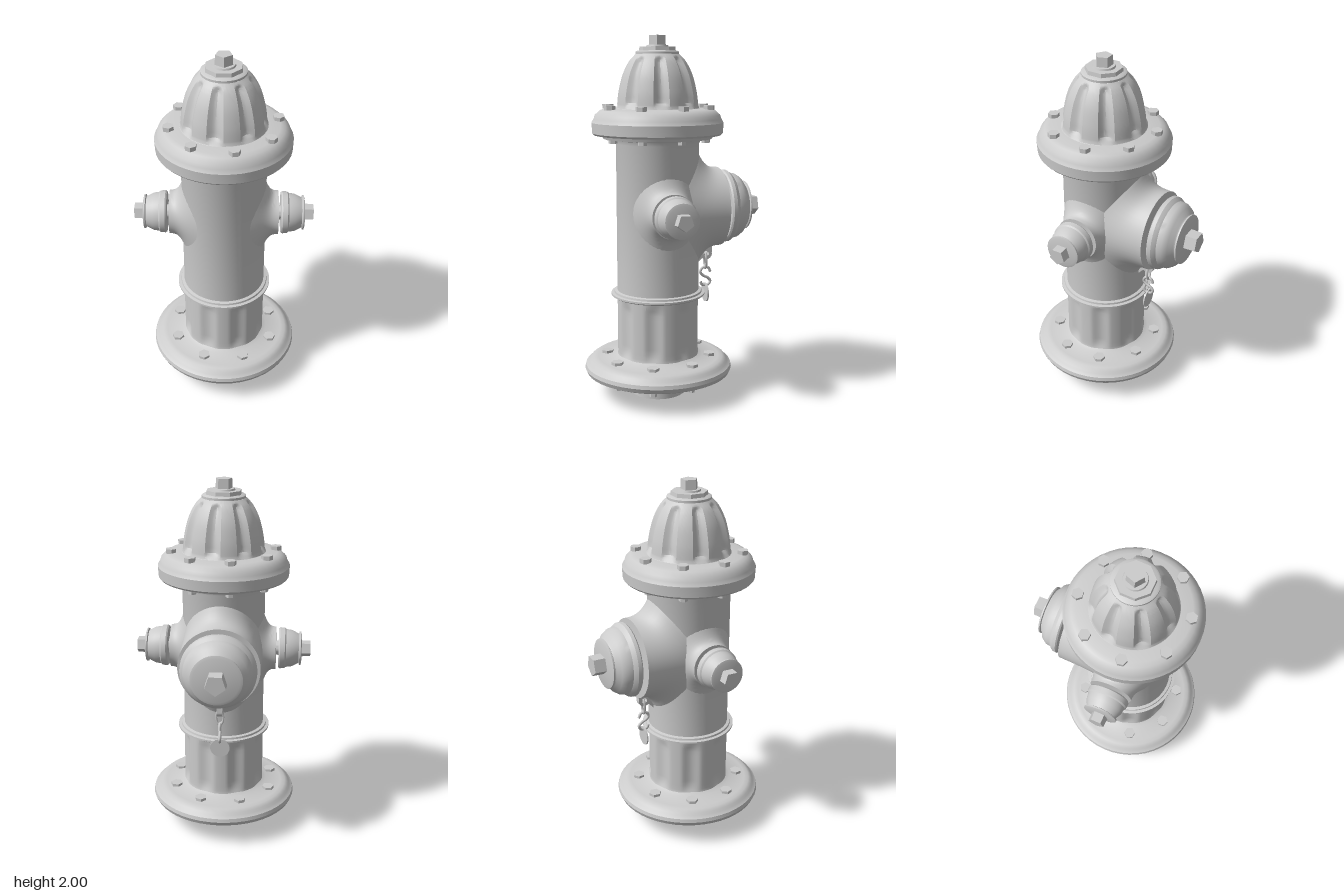
import * as THREE from 'three';
import { mergeVertices, toCreasedNormals } from 'three/addons/utils/BufferGeometryUtils.js';

const AXIS_Z = 0.083; // vertical axis of the barrel
const R = 0.228; // barrel radius
const DEG = Math.PI / 180;
const material = new THREE.MeshStandardMaterial({ color: 0xcccccc });

function add(parent, name, geometry, x = 0, y = 0, z = 0) {
  const mesh = new THREE.Mesh(geometry, material);
  mesh.name = name;
  mesh.position.set(x, y, z);
  parent.add(mesh);
  return mesh;
}

function crease(geometry, angle = 32) {
  geometry.deleteAttribute('normal');
  geometry.deleteAttribute('uv');
  return toCreasedNormals(mergeVertices(geometry, 1e-5), angle * DEG);
}

function turned(points, segments = 48) {
  return new THREE.LatheGeometry(points.map(p => new THREE.Vector2(...p)), segments);
}

// Eight concave flutes pressed into a turned surface between two heights
function flute(geometry, centre, width, depth, low, high, fade) {
  const p = geometry.attributes.position;
  for (let i = 0; i < p.count; i++) {
    const x = p.getX(i), y = p.getY(i), z = p.getZ(i);
    const r = Math.hypot(x, z);
    if (r < 1e-4) continue;
    const a = Math.atan2(z, x) / DEG - centre;
    const off = a - 45 * Math.round(a / 45);
    const across = Math.max(0, Math.cos(Math.min(1, Math.abs(off) / width) * Math.PI / 2));
    const along = THREE.MathUtils.smoothstep(y, low, low + fade) * (1 - THREE.MathUtils.smoothstep(y, high - fade, high));
    const k = 1 - depth * across * along / r;
    p.setXYZ(i, x * k, y, z * k);
  }
  return geometry;
}

// Ring of eight hexagonal bolts
function boltRing(parent, name, radius, y, size, height, offset) {
  for (let i = 0; i < 8; i++) {
    const a = (offset + 45 * i) * DEG;
    const g = crease(new THREE.CylinderGeometry(size, size, height, 6));
    add(parent, name, g, radius * Math.cos(a), y, radius * Math.sin(a)).rotation.y = -a;
  }
}

// Flared outlet neck along +z, its root following the barrel and its end closed
function neckGeometry(radius, flareX, flareY, end) {
  const rows = 10, cols = 48, pos = [], index = [];
  for (let i = 0; i <= rows + 1; i++) {
    const t = Math.min(1, i / rows), e = (1 - t) ** 3;
    const s = i > rows ? 0 : 1;
    for (let j = 0; j < cols; j++) {
      const a = j / cols * Math.PI * 2;
      const x = s * Math.min(R - 0.002, radius + flareX * e) * Math.cos(a);
      const root = Math.sqrt(Math.max(0, (R - 0.004) ** 2 - x * x));
      pos.push(x, s * (radius + flareY * e) * Math.sin(a), s ? THREE.MathUtils.lerp(root, end, t) : end);
      if (i <= rows) {
        const k = (j + 1) % cols, b = i * cols, c = b + cols;
        index.push(b + j, b + k, c + k, b + j, c + k, c + j);
      }
    }
  }
  const g = new THREE.BufferGeometry();
  g.setAttribute('position', new THREE.Float32BufferAttribute(pos, 3));
  g.setIndex(index);
  return crease(g, 45);
}

// Outlet: neck, threaded stem, turned cap and five-sided nut
function outlet(parent, name, turn, o) {
  const group = new THREE.Group();
  group.name = name;
  group.position.y = 1.055;
  group.rotation.y = turn;
  parent.add(group);
  add(group, name + 'Neck', neckGeometry(o.radius, o.flareX, o.flareY, o.neckEnd));
  const stem = new THREE.CylinderGeometry(o.stem, o.stem, 0.08, 24);
  add(group, name + 'Stem', crease(stem.rotateX(Math.PI / 2)), 0, 0, o.neckEnd + 0.02);
  add(group, name + 'Cap', crease(turned(o.cap, 40).rotateX(Math.PI / 2)));
  const nut = new THREE.CylinderGeometry(o.nut, o.nut * 1.05, o.nutEnd - o.nutStart, 5);
  add(group, name + 'Nut', crease(nut.rotateX(Math.PI / 2)), 0, 0, (o.nutStart + o.nutEnd) / 2);
}

export function createModel() {
  const model = new THREE.Group();
  model.name = 'fireHydrant';
  const g = new THREE.Group();
  g.name = 'hydrant';
  g.position.z = AXIS_Z;
  model.add(g);

  // Foot pipe and ground flange
  add(g, 'footPipe', crease(turned([
    [0, 0.09], [0.125, 0.09], [0.125, 0], [0.15, 0], [0.15, 0.045], [0.165, 0.055], [0.165, 0.085], [0.18, 0.13],
  ])));
  add(g, 'baseFlange', crease(turned([
    [0.15, 0.122], [0.385, 0.122], [0.405, 0.132], [0.415, 0.155], [0.41, 0.175], [0.392, 0.188],
    [0.385, 0.2], [0.365, 0.213], [0.34, 0.216], [0.25, 0.222], [0.22, 0.24],
  ])));
  boltRing(g, 'baseBolt', 0.29, 0.222, 0.034, 0.024, 22.5);
  boltRing(g, 'baseNut', 0.285, 0.11, 0.036, 0.03, 22.5);
  boltRing(g, 'baseBoltEnd', 0.285, 0.085, 0.02, 0.03, 22.5);

  // Fluted lower barrel
  const lower = [[0.238, 0.21], [0.23, 0.235]];
  for (let i = 0; i <= 12; i++) lower.push([0.229, 0.25 + i * 0.0275]);
  add(g, 'lowerBarrel', crease(flute(turned(lower, 128), 67.5, 13, 0.016, 0.22, 0.57, 0.06), 20));

  // Break ring
  add(g, 'breakRing', crease(turned([
    [0.22, 0.565], [0.25, 0.568], [0.262, 0.575], [0.262, 0.585], [0.246, 0.588], [0.244, 0.598], [0.22, 0.604],
  ])));

  // Upper barrel
  add(g, 'upperBarrel', crease(turned([[R, 0.59], [R, 1.42], [0.235, 1.44], [0.26, 1.46]])));

  // Bonnet flange with bolts above and below
  add(g, 'bonnetFlange', crease(turned([
    [0.2, 1.448], [0.298, 1.448], [0.305, 1.468], [0.348, 1.468], [0.357, 1.478], [0.36, 1.535], [0.348, 1.555],
    [0.342, 1.575], [0.315, 1.6], [0.29, 1.608], [0.2, 1.612],
  ])));
  boltRing(g, 'bonnetBolt', 0.287, 1.617, 0.031, 0.024, -11.25);
  boltRing(g, 'bonnetNut', 0.27, 1.442, 0.024, 0.026, -11.25);

  // Fluted bonnet dome
  const curve = new THREE.SplineCurve([
    [0.222, 1.625], [0.213, 1.7], [0.19, 1.79], [0.155, 1.86], [0.118, 1.9],
  ].map(p => new THREE.Vector2(...p)));
  const dome = [[0.235, 1.605], [0.227, 1.612], ...curve.getPoints(24).map(p => [p.x, p.y])];
  add(g, 'bonnetDome', crease(flute(turned(dome, 128), 11.25, 11.25, 0.024, 1.615, 1.895, 0.035), 20));

  // Bonnet top: rim, hexagonal collar, washer and operating nut
  add(g, 'bonnetRim', crease(turned([
    [0.105, 1.895], [0.118, 1.9], [0.118, 1.912], [0.108, 1.918], [0, 1.92],
  ])));
  add(g, 'topCollar', crease(new THREE.CylinderGeometry(0.097, 0.1, 0.022, 8)), 0, 1.928, 0).rotation.y = Math.PI / 8;
  add(g, 'topWasher', crease(new THREE.CylinderGeometry(0.058, 0.062, 0.012, 32)), 0, 1.942, 0);
  add(g, 'operatingNut', crease(new THREE.CylinderGeometry(0.045, 0.049, 0.07, 5)), 0, 1.965, 0);

  // Side hose outlets
  const hose = {
    radius: 0.12, flareX: 0.07, flareY: 0.085, neckEnd: 0.295, stem: 0.04, nut: 0.046, nutStart: 0.42, nutEnd: 0.488,
    cap: [[0, 0.31], [0.11, 0.31], [0.116, 0.318], [0.114, 0.345], [0.107, 0.352], [0.102, 0.385], [0.088, 0.412],
      [0.083, 0.422], [0.094, 0.426], [0.094, 0.434], [0.08, 0.438], [0, 0.438]],
  };
  outlet(g, 'leftOutlet', Math.PI / 2, hose);
  outlet(g, 'rightOutlet', -Math.PI / 2, hose);

  // Large rear outlet
  outlet(g, 'rearOutlet', Math.PI, {
    radius: 0.222, flareX: 0.01, flareY: 0.095, neckEnd: 0.35, stem: 0.06, nut: 0.058, nutStart: 0.49, nutEnd: 0.583,
    cap: [[0, 0.37], [0.198, 0.37], [0.206, 0.378], [0.205, 0.398], [0.195, 0.412], [0.187, 0.42], [0.183, 0.448],
      [0.165, 0.475], [0.135, 0.493], [0.13, 0.5], [0.138, 0.504], [0.138, 0.512], [0.122, 0.517], [0, 0.518]],
  });

  // Chain lug under the rear outlet, links and tag
  const chain = new THREE.Group();
  chain.name = 'chain';
  chain.position.z = -0.283;
  g.add(chain);
  const lug = new THREE.Shape();
  lug.moveTo(0.11, 0.88);
  lug.lineTo(-0.04, 0.88);
  lug.lineTo(-0.033, 0.79);
  lug.absarc(0, 0.785, 0.034, Math.PI, Math.PI * 1.75);
  lug.quadraticCurveTo(0.05, 0.74, 0.075, 0.7);
  lug.closePath();
  const hole = new THREE.Path();
  hole.absarc(0, 0.785, 0.016, 0, Math.PI * 2);
  lug.holes.push(hole);
  const lugGeometry = new THREE.ExtrudeGeometry(lug, { depth: 0.03, bevelEnabled: false, curveSegments: 10 });
  lugGeometry.translate(0, 0, -0.015).rotateY(-Math.PI / 2);
  add(chain, 'chainLug', crease(lugGeometry));
  const link = new THREE.TorusGeometry(0.028, 0.007, 8, 20);
  const upper = add(chain, 'chainLink', link, 0, 0.745, 0);
  upper.scale.set(0.7, 1.55, 1);
  const hook = new THREE.CatmullRomCurve3([
    [-0.03, 0.675], [-0.015, 0.702], [0.018, 0.7], [0.03, 0.675], [0.012, 0.655],
    [-0.014, 0.642], [-0.03, 0.62], [-0.015, 0.6], [0.018, 0.602], [0.03, 0.622],
  ].map(([z, y]) => new THREE.Vector3(0, y, z)));
  add(chain, 'chainHook', new THREE.TubeGeometry(hook, 40, 0.008, 8));
  const tag = new THREE.Shape();
  tag.absarc(0, 0.557, 0.054, 0, Math.PI * 2);
  const tagHole = new THREE.Path();
  tagHole.absarc(0, 0.598, 0.007, 0, Math.PI * 2);
  tag.holes.push(tagHole);
  add(chain, 'chainTag', new THREE.ExtrudeGeometry(tag, { depth: 0.008, bevelEnabled: false, curveSegments: 24 }), 0, 0, -0.004);

  return model;
}
